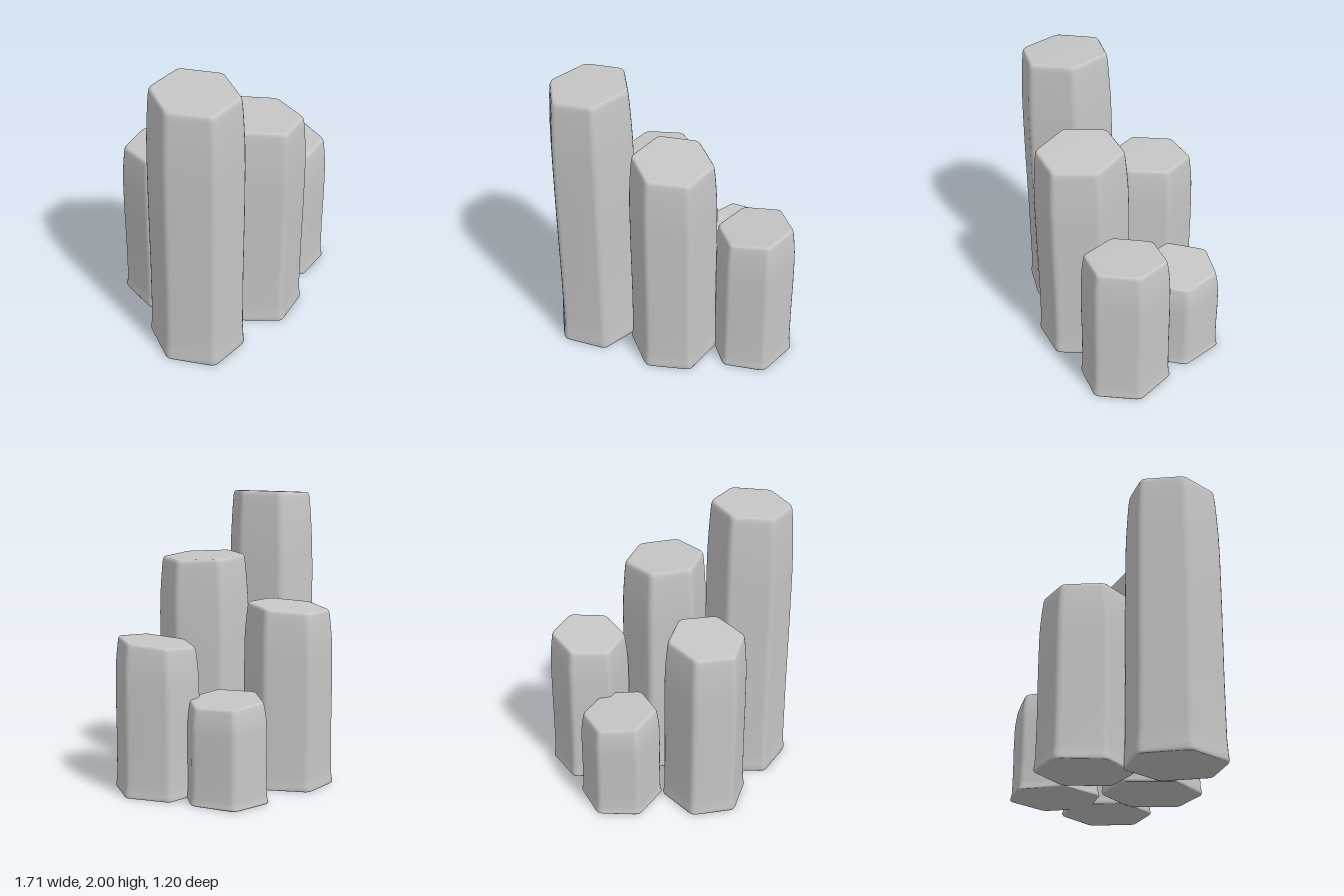
import * as THREE from 'three';

// Column profile: [fraction of height, fraction of base radius]
const PROFILE = [
  [0, 0], [0, 0.955], [0, 0.98], [0.009, 1], [0.03, 0.983], [0.08, 0.965], [0.3, 0.957],
  [0.55, 0.962], [0.74, 0.957], [0.82, 0.947], [0.89, 0.925], [0.95, 0.9],
  [0.982, 0.882], [0.993, 0.866], [0.999, 0.84], [1, 0.8], [1, 0],
];
const SQUASH = 0.9;   // hexagons are slightly narrower across one axis
const BEVEL = 0.1;    // share of each side used by the corner rounding

// Unit hexagon outline with softened corners
function hexOutline() {
  const corner = (i) => new THREE.Vector2(
    Math.cos(i * Math.PI / 3) * SQUASH, Math.sin(i * Math.PI / 3));
  const pts = [];
  for (let i = 0; i < 6; i++) {
    const c = corner(i);
    const a = c.clone().lerp(corner(i - 1), BEVEL);
    const b = c.clone().lerp(corner(i + 1), BEVEL);
    const curve = new THREE.QuadraticBezierCurve(a, c, b);
    pts.push(...curve.getPoints(3));
  }
  return pts;
}

// Stone column with a flared foot, tapered shoulder and tilted flat top
function columnGeometry({ radius, height, turn, slopeX, slopeZ, leanZ = 0 }) {
  const outline = hexOutline();
  const n = outline.length;
  const cos = Math.cos(turn), sin = Math.sin(turn);
  const positions = [], index = [];
  for (const [t, s] of PROFILE) {
    for (const p of outline) {
      const x = (p.x * cos - p.y * sin) * radius * s;
      const z = (p.x * sin + p.y * cos) * radius * s;
      positions.push(x, t * (height + slopeX * x + slopeZ * z), z + leanZ * t);
    }
  }
  for (let r = 0; r < PROFILE.length - 1; r++) {
    for (let i = 0; i < n; i++) {
      const j = (i + 1) % n;
      const a = r * n + i, b = r * n + j, c = a + n, d = b + n;
      if (r > 0) index.push(a, c, b);
      if (r < PROFILE.length - 2) index.push(b, c, d);
    }
  }
  const geometry = new THREE.BufferGeometry();
  geometry.setAttribute('position', new THREE.Float32BufferAttribute(positions, 3));
  geometry.setIndex(index);
  geometry.computeVertexNormals();
  return geometry;
}

export function createModel() {
  const group = new THREE.Group();
  group.name = 'stoneColumns';
  const stone = new THREE.MeshStandardMaterial({ color: 0xc6c6c6 });
  stone.name = 'grey stone';

  const deg = Math.PI / 180;
  const columns = [
    { name: 'tallestColumn', x: -0.547, z: 0.237, radius: 0.352, height: 1.985, turn: 0, slopeX: 0.055, slopeZ: -0.025, leanZ: 0.012 },
    { name: 'frontMiddleColumn', x: 0.04, z: 0.271, radius: 0.352, height: 1.56, turn: -12 * deg, slopeX: -0.065, slopeZ: -0.015, leanZ: 0.012 },
    { name: 'backRightColumn', x: -0.264, z: -0.28, radius: 0.336, height: 1.242, turn: -14 * deg, slopeX: 0.03, slopeZ: 0.07 },
    { name: 'frontLeftColumn', x: 0.566, z: 0.107, radius: 0.328, height: 1.033, turn: -7 * deg, slopeX: 0.08, slopeZ: 0.05 },
    { name: 'shortestColumn', x: 0.318, z: -0.328, radius: 0.323, height: 0.675, turn: 0, slopeX: -0.08, slopeZ: 0 },
  ];
  for (const c of columns) {
    const mesh = new THREE.Mesh(columnGeometry(c), stone);
    mesh.name = c.name;
    mesh.position.set(c.x, 0, c.z);
    group.add(mesh);
  }
  return group;
}
